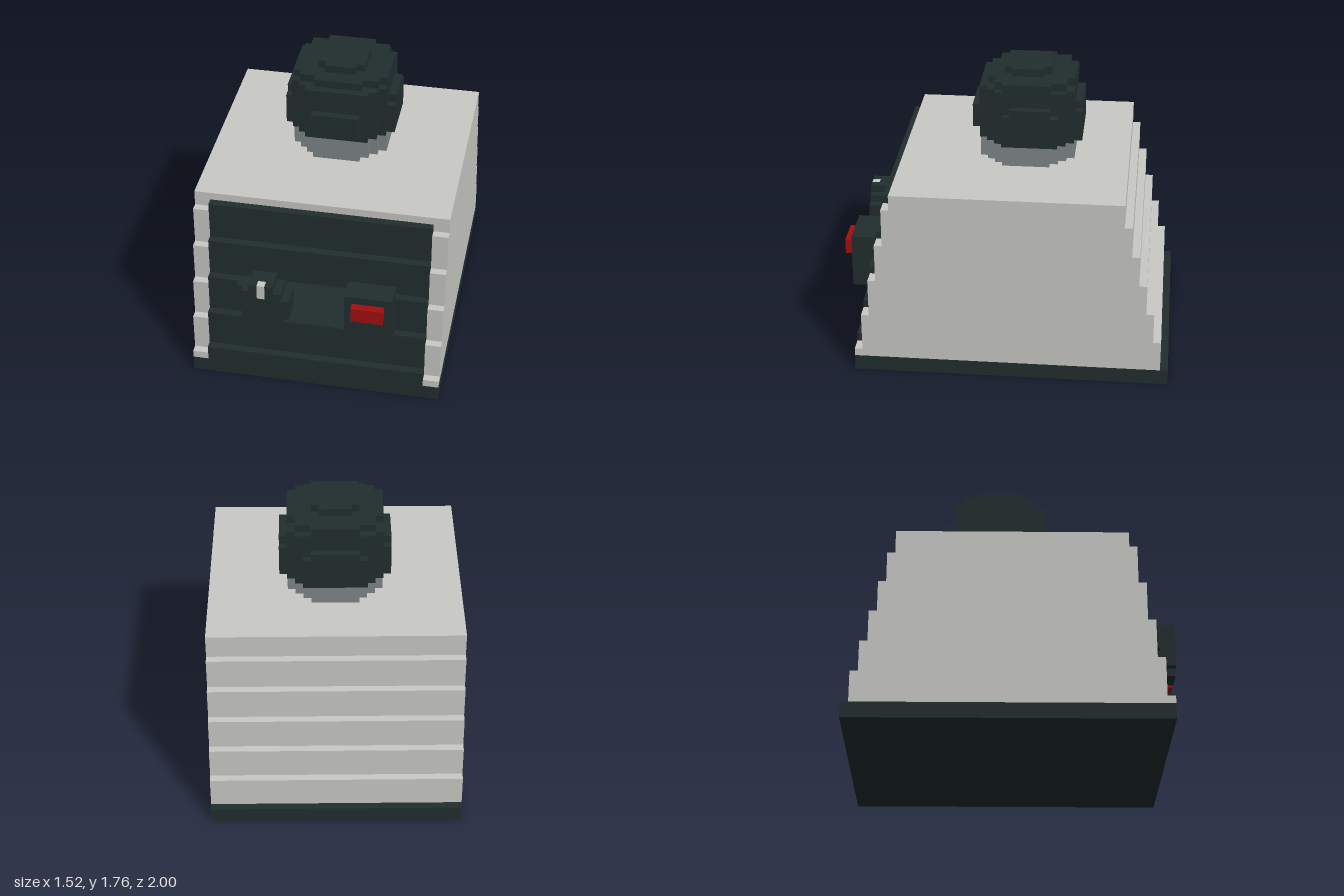
import * as THREE from 'three';

const U = 2 / 42; // one block

const mat = (name, color) => {
  const m = new THREE.MeshStandardMaterial({ color });
  m.name = name;
  return m;
};

export function createModel() {
  const dark = mat('charcoal', 0x222f2f);
  const grey = mat('light grey', 0xcacac5);
  const steel = mat('steel grey', 0x80878a);
  const red = mat('red', 0xa50f0f);

  const model = new THREE.Group();
  model.name = 'blockModel';

  const part = (name) => {
    const g = new THREE.Group();
    g.name = name;
    model.add(g);
    return g;
  };
  // Box given by its limits in blocks
  const box = (parent, name, m, x0, x1, y0, y1, z0, z1) => {
    const geo = new THREE.BoxGeometry((x1 - x0) * U, (y1 - y0) * U, (z1 - z0) * U);
    geo.translate((x0 + x1) / 2 * U, (y0 + y1) / 2 * U, (z0 + z1) / 2 * U);
    const mesh = new THREE.Mesh(geo, m);
    mesh.name = name;
    parent.add(mesh);
  };

  // Base slab
  box(model, 'base', dark, -16, 16, 0, 2, -21, 19);

  // Stepped side walls: [z, bottom, top] for each step
  const frontSteps = [[19, 2, 3], [18, 3, 8], [17, 8, 13], [16, 13, 18], [15, 18, 23], [14, 23, 25]];
  const backSteps = [[-15, 22, 25], [-16, 18, 22], [-17, 14, 18], [-18, 10, 14], [-19, 6, 10], [-20, 2, 6]];
  const outline = [
    ...frontSteps.flatMap(([z, a, b]) => [[z, a], [z, b]]),
    ...backSteps.flatMap(([z, a, b]) => [[z, b], [z, a]]),
  ].map(([z, y]) => new THREE.Vector2(z * U, y * U));
  const wallGeo = new THREE.ExtrudeGeometry(new THREE.Shape(outline), { depth: 2 * U, bevelEnabled: false });
  wallGeo.rotateY(-Math.PI / 2);
  const shell = part('bodyShell');
  for (const [name, x] of [['leftWall', 16], ['rightWall', -14]]) {
    const wall = new THREE.Mesh(wallGeo, grey);
    wall.name = name;
    wall.position.x = x * U;
    shell.add(wall);
  }

  // Hollow shell: stepped back and lid
  for (const [z, a, b] of backSteps) box(shell, 'backSlat', grey, -14, 14, a, b, z, z + 1);
  box(shell, 'lid', grey, -14, 14, 24, 25, -14, 14);

  // Stepped front panel with an opening in the middle row
  const panel = part('frontPanel');
  for (const [z, a, b] of [[19, 2, 4], [18, 4, 9], [16, 14, 19], [15, 19, 24]]) {
    box(panel, 'panelRow', dark, -14, 14, a, b, z - 1, z);
  }
  box(panel, 'panelRowRight', dark, -14, -5, 9, 14, 16, 17);
  box(panel, 'panelRowLeft', dark, 4, 14, 9, 14, 16, 17);

  // Round knob with a pale pointer
  const knob = part('knob');
  for (const [x0, x1, y0, y1] of [[-8, -5, 9, 10], [-9, -4, 10, 11], [-9, -3, 11, 14]]) {
    box(knob, 'knobRow', dark, x0, x1, y0, y1, 17, 20);
  }
  box(knob, 'knobTopBack', dark, -8, -5, 15, 16, 17, 19);
  box(knob, 'knobUpperBack', dark, -9, -4, 14, 15, 17, 19);
  box(knob, 'knobTopRight', dark, -8, -7, 15, 16, 19, 20);
  box(knob, 'knobTopLeft', dark, -6, -5, 15, 16, 19, 20);
  box(knob, 'knobUpperRight', dark, -9, -7, 14, 15, 19, 20);
  box(knob, 'knobUpperLeft', dark, -6, -4, 14, 15, 19, 20);
  box(knob, 'knobTab', dark, -10, -9, 12, 14, 17, 18);
  box(knob, 'knobPointer', grey, -7, -6, 14, 16, 19, 20);

  // Switch box with a red button
  box(model, 'switchBox', dark, 4, 10, 9, 16, 17, 20);
  box(model, 'redButton', red, 5, 9, 13, 15, 20, 21);

  // Rounded blocks made of overlapping slabs: [half width, back, front]
  const disc = (parent, name, m, y0, y1, slabs) => {
    for (const [w, z0, z1] of slabs) box(parent, name, m, -w, w, y0, y1, z0, z1);
  };
  disc(part('neck'), 'neckSlab', steel, 25, 28, [[6, -5, 1], [5, -6, 2], [4, -7, 3], [3, -8, 4]]);

  const cap = part('cap');
  disc(cap, 'capCore', dark, 28, 35, [[6, -7, 2], [5, -8, 3], [4, -8, 4]]);
  disc(cap, 'capShoulder', dark, 35, 36, [[6, -5, 1], [5, -7, 2], [3, -8, 3]]);
  disc(cap, 'capTop', dark, 36, 37, [[3, -4, 0], [2, -5, 1]]);
  // Bulges at the sides, back and front
  disc(cap, 'sideBulge', dark, 28, 32, [[7, -6, 1]]);
  disc(cap, 'sideBulgeTop', dark, 32, 33, [[7, -5, 0]]);
  disc(cap, 'backBulge', dark, 28, 32, [[4, -9, -8]]);
  disc(cap, 'backBulgeTop', dark, 32, 33, [[3, -9, -8]]);
  disc(cap, 'frontBulge', dark, 29, 32, [[3, 4, 5]]);

  return model;
}
